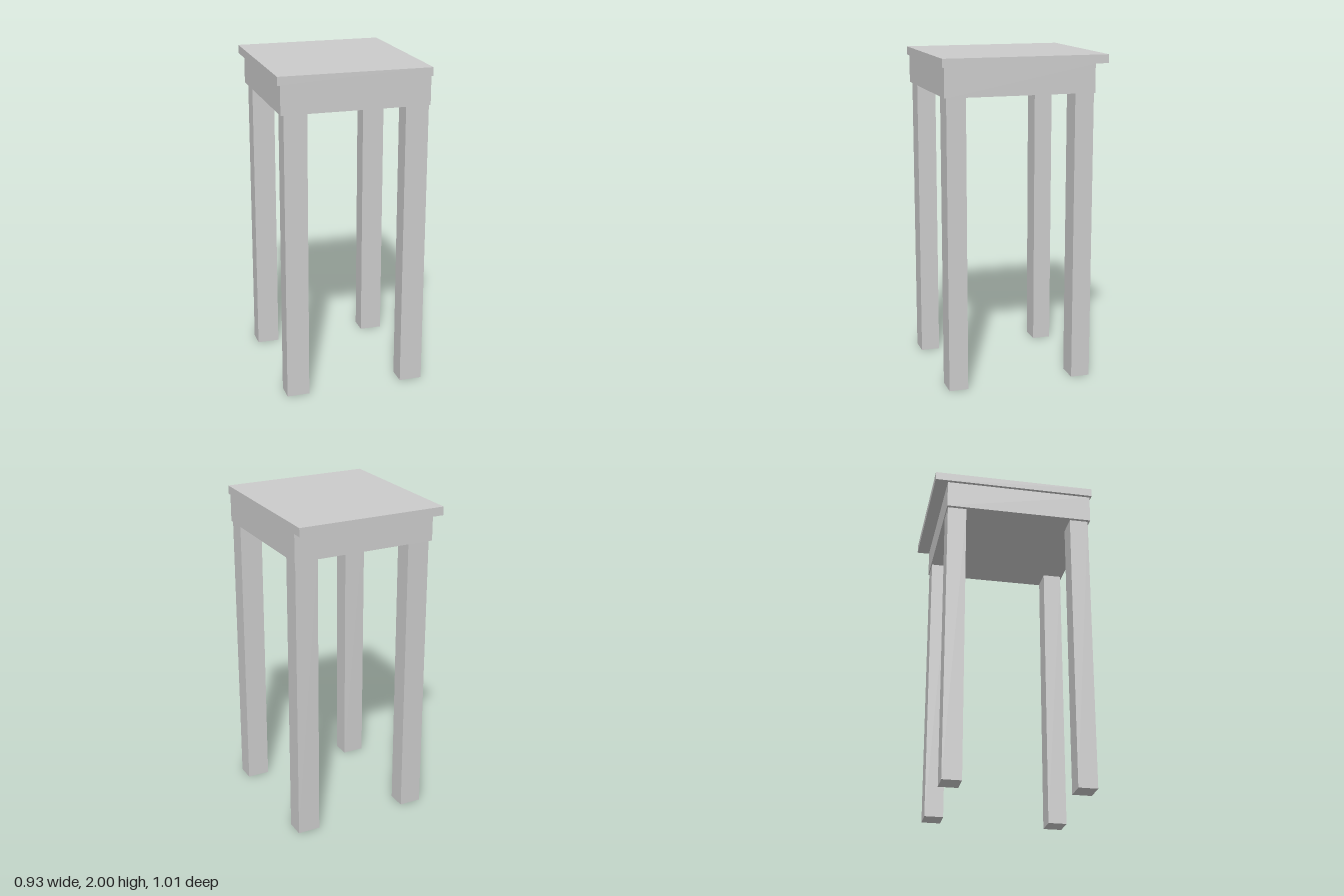
import * as THREE from 'three';

const material = new THREE.MeshStandardMaterial({ color: 0xcccccc, flatShading: true });

// Box given by its extents along each axis
function block(name, [x0, x1], [y0, y1], [z0, z1]) {
  const mesh = new THREE.Mesh(new THREE.BoxGeometry(x1 - x0, y1 - y0, z1 - z0), material);
  mesh.position.set((x0 + x1) / 2, (y0 + y1) / 2, (z0 + z1) / 2);
  mesh.name = name;
  return mesh;
}

export function createModel() {
  const stool = new THREE.Group();
  stool.name = 'stool';

  // Overhanging top and the solid apron beneath it
  stool.add(block('top', [-0.463, 0.463], [1.948, 2], [-0.505, 0.505]));
  stool.add(block('apron', [-0.444, 0.456], [1.775, 1.948], [-0.425, 0.494]));

  // Four square legs, set slightly in from the apron edges
  const sides = { Right: [-0.424, -0.285], Left: [0.309, 0.45] };
  const ends = { front: [0.365, 0.482], back: [-0.419, -0.302] };
  for (const [end, z] of Object.entries(ends)) {
    for (const [side, x] of Object.entries(sides)) {
      stool.add(block(`${end}${side}Leg`, x, [0, 1.775], z));
    }
  }
  return stool;
}
